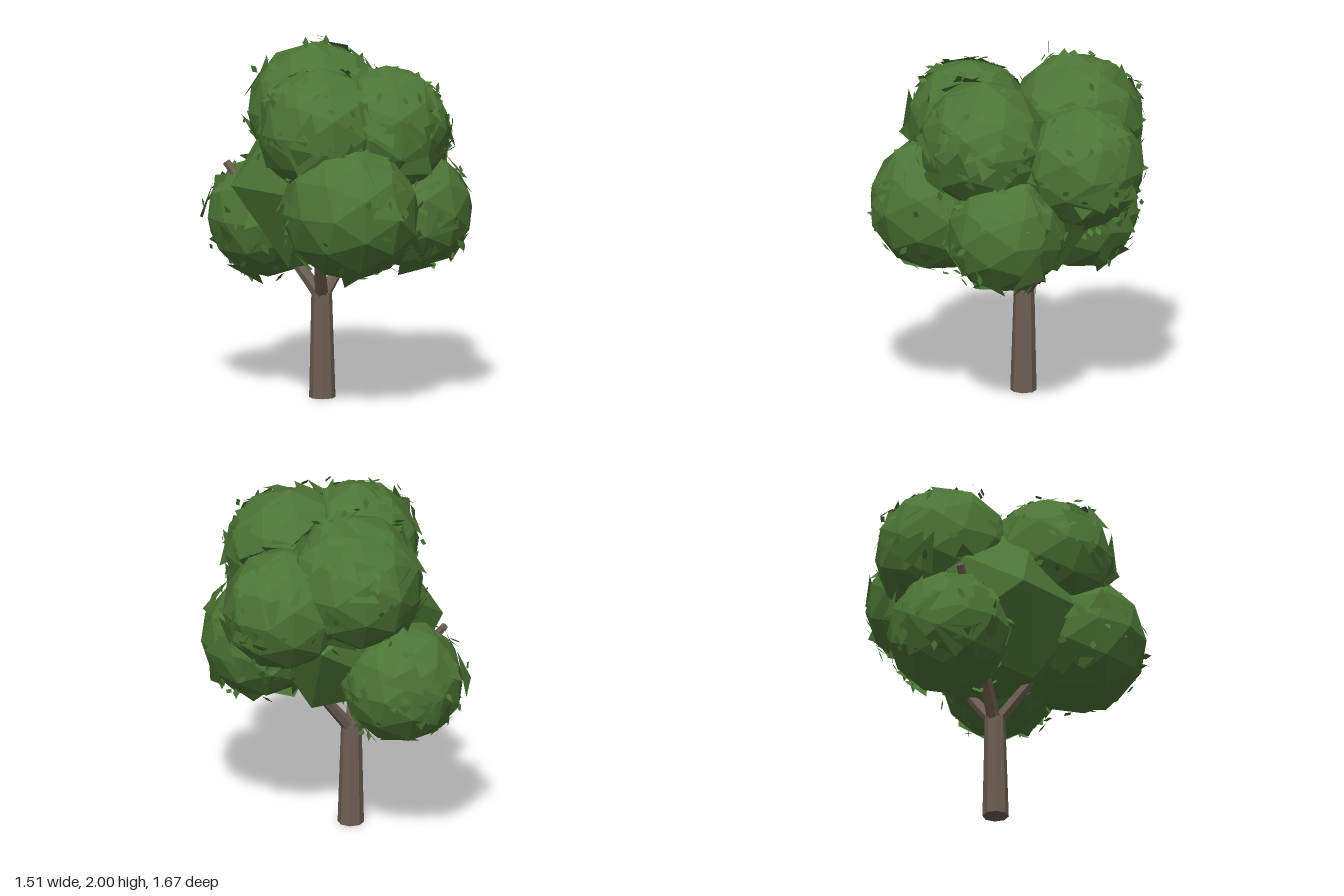
import * as THREE from 'three';

const bark = new THREE.MeshStandardMaterial({ color: 0x6e6053, flatShading: true });
bark.name = 'bark';
const leafGreen = new THREE.MeshStandardMaterial({ color: 0x4c7535, flatShading: true, side: THREE.DoubleSide });
leafGreen.name = 'leafGreen';

// small seeded generator
let seed = 7;
const rand = (a = 0, b = 1) => {
  seed = (seed * 16807) % 2147483647;
  return a + (b - a) * (seed / 2147483647);
};
const randomDirection = () => {
  const y = rand(-1, 1), a = rand(0, Math.PI * 2), h = Math.sqrt(1 - y * y);
  return new THREE.Vector3(h * Math.cos(a), y, h * Math.sin(a));
};

function addMesh(parent, name, geometry, material) {
  const mesh = new THREE.Mesh(geometry, material);
  mesh.name = name;
  parent.add(mesh);
}

function trianglesToGeometry(points) {
  const geometry = new THREE.BufferGeometry().setFromPoints(points);
  geometry.computeVertexNormals();
  return geometry;
}

// tangent frame around an outward direction
function frame(n) {
  const t = new THREE.Vector3().crossVectors(n, randomDirection()).normalize();
  return [t, new THREE.Vector3().crossVectors(n, t)];
}

// ragged triangles lying over the surface of a clump
function plates(center, radius, count) {
  const points = [];
  for (let i = 0; i < count; i++) {
    const n = randomDirection(), [t, b] = frame(n);
    const c = center.clone().addScaledVector(n, radius * rand(0.88, 1.04));
    const size = rand(0.08, 0.14);
    for (let k = 0; k < 3; k++) {
      const a = k * 2.09 + rand(-0.5, 0.5);
      points.push(c.clone().addScaledVector(t, size * Math.cos(a))
        .addScaledVector(b, size * Math.sin(a)).addScaledVector(n, rand(-0.05, 0.02)));
    }
  }
  return trianglesToGeometry(points);
}

// one small diamond leaf as two triangles
function diamond(c, along, across, length = 0.035, width = 0.018) {
  const p = (v, s) => c.clone().addScaledVector(v, s);
  const tip = p(along, length), tail = p(along, -length);
  return [tip, p(across, width), tail, tip, tail, p(across, -width)];
}

function looseLeaves(center, radius, count) {
  const points = [];
  for (let i = 0; i < count; i++) {
    const n = randomDirection(), [t, b] = frame(n);
    const c = center.clone().addScaledVector(n, radius * rand(0.97, 1.09));
    points.push(...diamond(c, t.addScaledVector(n, rand(-1, 1)).normalize(), b));
  }
  return trianglesToGeometry(points);
}

function limb(from, to, r0, r1, sides) {
  const a = new THREE.Vector3(...from), b = new THREE.Vector3(...to);
  const geometry = new THREE.CylinderGeometry(r1, r0, a.distanceTo(b), sides);
  geometry.applyQuaternion(new THREE.Quaternion().setFromUnitVectors(
    new THREE.Vector3(0, 1, 0), b.clone().sub(a).normalize()));
  return geometry.translate(...a.add(b).multiplyScalar(0.5).toArray());
}

export function createModel() {
  seed = 7;
  const tree = new THREE.Group();
  tree.name = 'tree';

  // trunk and three forking branches
  const fork = [-0.08, 0.56, -0.075];
  addMesh(tree, 'trunk', limb([-0.08, 0, -0.07], [-0.08, 0.59, -0.075], 0.073, 0.057, 8), bark);
  [[-0.36, 1.05, 0.17], [0.25, 0.95, -0.05], [-0.29, 1.28, -0.61]].forEach((end) =>
    addMesh(tree, 'branch', limb(fork, end, 0.038, 0.022, 6), bark));

  // large coarse central mass
  const core = new THREE.IcosahedronGeometry(0.53, 0);
  addMesh(tree, 'crownCore', core.translate(-0.07, 1.21, -0.065), leafGreen);

  // leafy clumps: x, y, z, radius
  [
    [-0.3, 1.55, 0.13, 0.355],
    [0.1, 1.56, -0.3, 0.385],
    [0.03, 1.54, 0.32, 0.36],
    [0.42, 1.42, -0.07, 0.345],
    [-0.3, 1.13, 0.37, 0.385],
    [0.23, 1.07, 0.33, 0.335],
    [-0.09, 0.97, -0.48, 0.345],
  ].forEach(([x, y, z, r]) => {
    const clump = new THREE.Group();
    clump.name = 'leafClump';
    const center = new THREE.Vector3(x, y, z);
    addMesh(clump, 'clumpBody', new THREE.IcosahedronGeometry(r, 1).translate(x, y, z), leafGreen);
    addMesh(clump, 'leafPlates', plates(center, r, 64), leafGreen);
    addMesh(clump, 'looseLeaves', looseLeaves(center, r, 34), leafGreen);
    tree.add(clump);
  });

  // stray leaves at the outer limits of the crown
  const up = new THREE.Vector3(0, 1, 0);
  const diagonal = new THREE.Vector3(1, 0, 1).normalize();
  const stray = [[-0.05, 1.965, -0.23], [0.13, 1.95, -0.25], [-0.3, 1.17, 0.8], [-0.7, 1.17, 0.32],
    [0.75, 1.25, 0.02], [-0.06, 1.02, -0.83], [0.5, 0.86, 0.35], [0.44, 0.8, 0.3]]
    .flatMap((p) => diamond(new THREE.Vector3(...p), up, diagonal));
  addMesh(tree, 'strayLeaves', trianglesToGeometry(stray), leafGreen);

  return tree;
}
